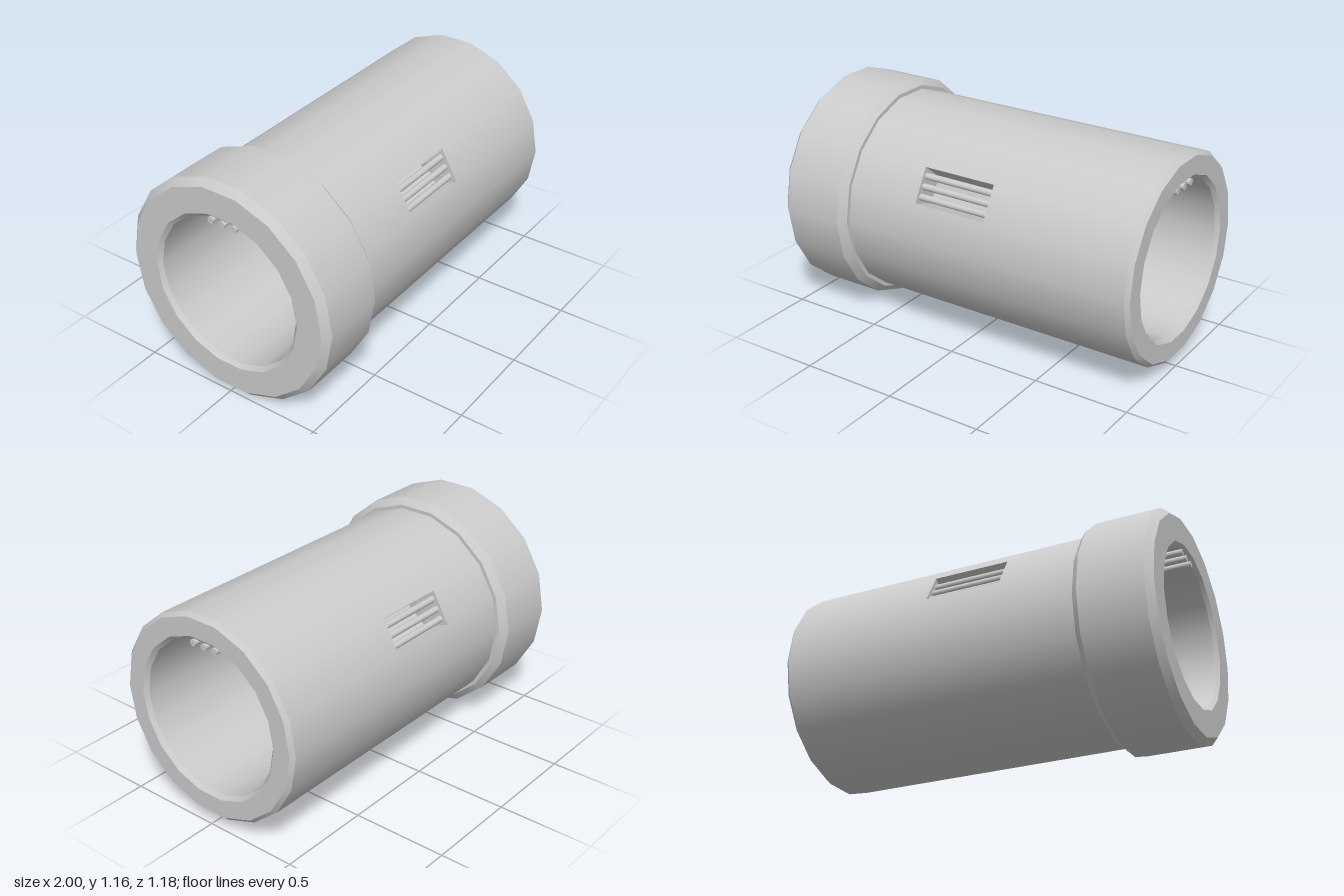
import * as THREE from 'three';

const AXIS_Y = 0.581, STEP = 20;          // 18-sided body, 20 degrees per facet
const OUTER = 0.535, BORE = 0.4, SLOT = 0.2;
const rad = THREE.MathUtils.degToRad;
const grey = new THREE.MeshStandardMaterial({ color: 0xcccccc });
const greyDouble = new THREE.MeshStandardMaterial({ color: 0xcccccc, side: THREE.DoubleSide });

// Ring surface around the x axis between two [x, radius] points.
// Angles run from +z (0) up to +y (90).
function ring(name, a, b, from = 0, sweep = 360) {
  const pts = [a, b].map(([x, r]) => new THREE.Vector2(r, x));
  const geo = new THREE.LatheGeometry(pts, sweep / STEP, rad(-from - sweep), rad(sweep));
  geo.rotateZ(-Math.PI / 2);
  const mesh = new THREE.Mesh(geo, grey);
  mesh.name = name;
  return mesh;
}

// Rod lying along x
function rod(name, radius, length, y, z) {
  const geo = new THREE.CylinderGeometry(radius, radius, length, 16).rotateZ(Math.PI / 2);
  const mesh = new THREE.Mesh(geo, grey);
  mesh.position.set(0, y, z);
  mesh.name = name;
  return mesh;
}

// Window in one facet: end walls, side walls and three bars
function makeWindow(from) {
  const g = new THREE.Group();
  g.name = 'sideWindow';
  g.add(ring('windowEnd', [-SLOT, OUTER], [-SLOT, BORE], from, STEP));
  g.add(ring('windowEnd', [SLOT, BORE], [SLOT, OUTER], from, STEP));
  for (const deg of [from, from + STEP]) {
    const wall = new THREE.Mesh(new THREE.PlaneGeometry(2 * SLOT, OUTER - BORE), greyDouble);
    const t = rad(deg), r = (OUTER + BORE) / 2;
    wall.position.set(0, r * Math.sin(t), r * Math.cos(t));
    wall.rotation.x = Math.PI / 2 - t;
    wall.name = 'windowWall';
    g.add(wall);
  }
  const t = rad(from + STEP / 2), r = 0.495;
  for (const s of [-0.053, 0, 0.053]) {
    g.add(rod('windowBar', 0.017, 2 * SLOT,
      r * Math.sin(t) + s * Math.cos(t), r * Math.cos(t) - s * Math.sin(t)));
  }
  return g;
}

export function createModel() {
  const model = new THREE.Group();
  const body = new THREE.Group();
  body.name = 'sleeve';
  body.position.y = AXIS_Y;
  model.add(body);

  // Collar, chamfers and end faces
  const collar = [[-0.98, BORE], [-1, 0.42], [-1, 0.555], [-0.965, 0.59],
    [-0.635, 0.59], [-0.6, 0.555], [-0.6, OUTER]];
  const tip = [[0.98, OUTER], [1, 0.515], [1, 0.42], [0.98, BORE]];
  for (const [name, path] of [['collar', collar], ['tubeEnd', tip]]) {
    for (let i = 0; i + 1 < path.length; i++) body.add(ring(name, path[i], path[i + 1]));
  }

  // Outer wall and bore, leaving the window facets open
  const arcs = [[40, 100], [160, 220]];
  for (const [name, r, x0, x1] of [['tubeWall', OUTER, -0.6, 0.98], ['bore', BORE, -0.98, 0.98]]) {
    const strip = (a, b, ...arc) => body.add(name === 'bore'
      ? ring(name, [b, r], [a, r], ...arc) : ring(name, [a, r], [b, r], ...arc));
    strip(x0, -SLOT);
    strip(SLOT, x1);
    for (const arc of arcs) strip(-SLOT, SLOT, ...arc);
  }

  // Barred windows on both upper sides
  for (const from of [20, 140]) body.add(makeWindow(from));

  // Block and three long rods under the top of the bore
  const block = new THREE.Mesh(new THREE.BoxGeometry(1.5, 0.05, 0.2), grey);
  block.name = 'railBlock';
  block.position.y = 0.379;
  body.add(block);
  for (const z of [-0.067, 0, 0.067]) body.add(rod('rail', 0.017, 1.98, 0.376, z));

  return model;
}
